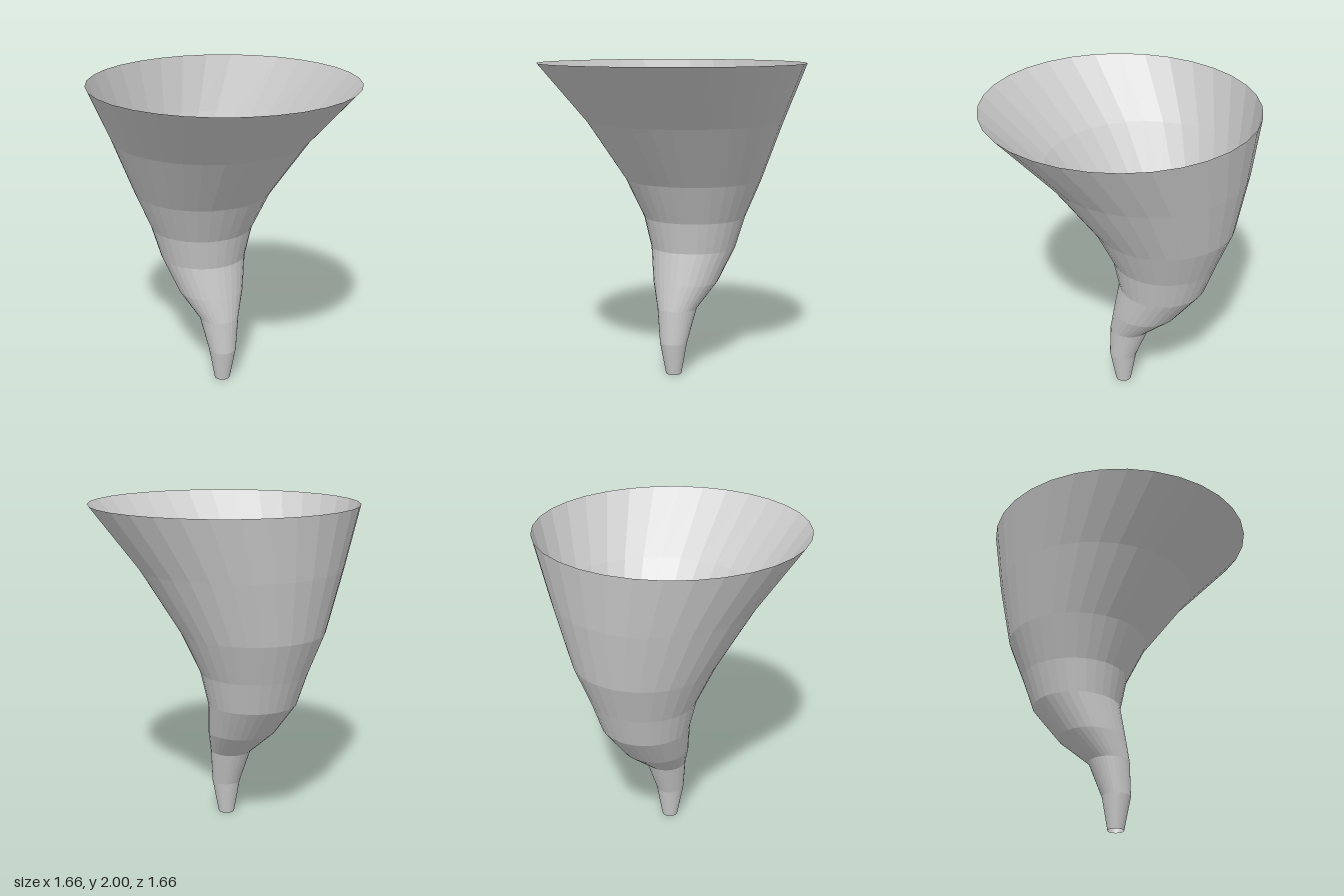
import * as THREE from 'three';

// Horizontal rings from the spout up to the rim: height, radius, z of the centre
const RINGS = [
  [0, 0.05, -0.025],
  [0.21, 0.088, -0.022],
  [0.43, 0.127, -0.067],
  [0.59, 0.21, -0.175],
  [0.8, 0.275, -0.275],
  [1.0, 0.33, -0.29],
  [1.25, 0.44, -0.275],
  [1.63, 0.622, -0.162],
  [2.0, 0.83, 0],
];

export function createModel() {
  const group = new THREE.Group();
  group.name = 'bentFunnel';

  // Turn the profile, then slide each ring along z to bend the funnel
  const profile = RINGS.map(([y, r]) => new THREE.Vector2(r, y));
  const geometry = new THREE.LatheGeometry(profile, 32);
  const pos = geometry.attributes.position;
  for (let i = 0; i < pos.count; i++) {
    pos.setZ(i, pos.getZ(i) + RINGS[i % RINGS.length][2]);
  }
  geometry.computeVertexNormals();

  // Thin open wall, seen from inside and outside
  const material = new THREE.MeshStandardMaterial({
    color: 0xcccccc,
    flatShading: true,
    side: THREE.DoubleSide,
  });
  const wall = new THREE.Mesh(geometry, material);
  wall.name = 'funnelWall';
  group.add(wall);
  return group;
}
